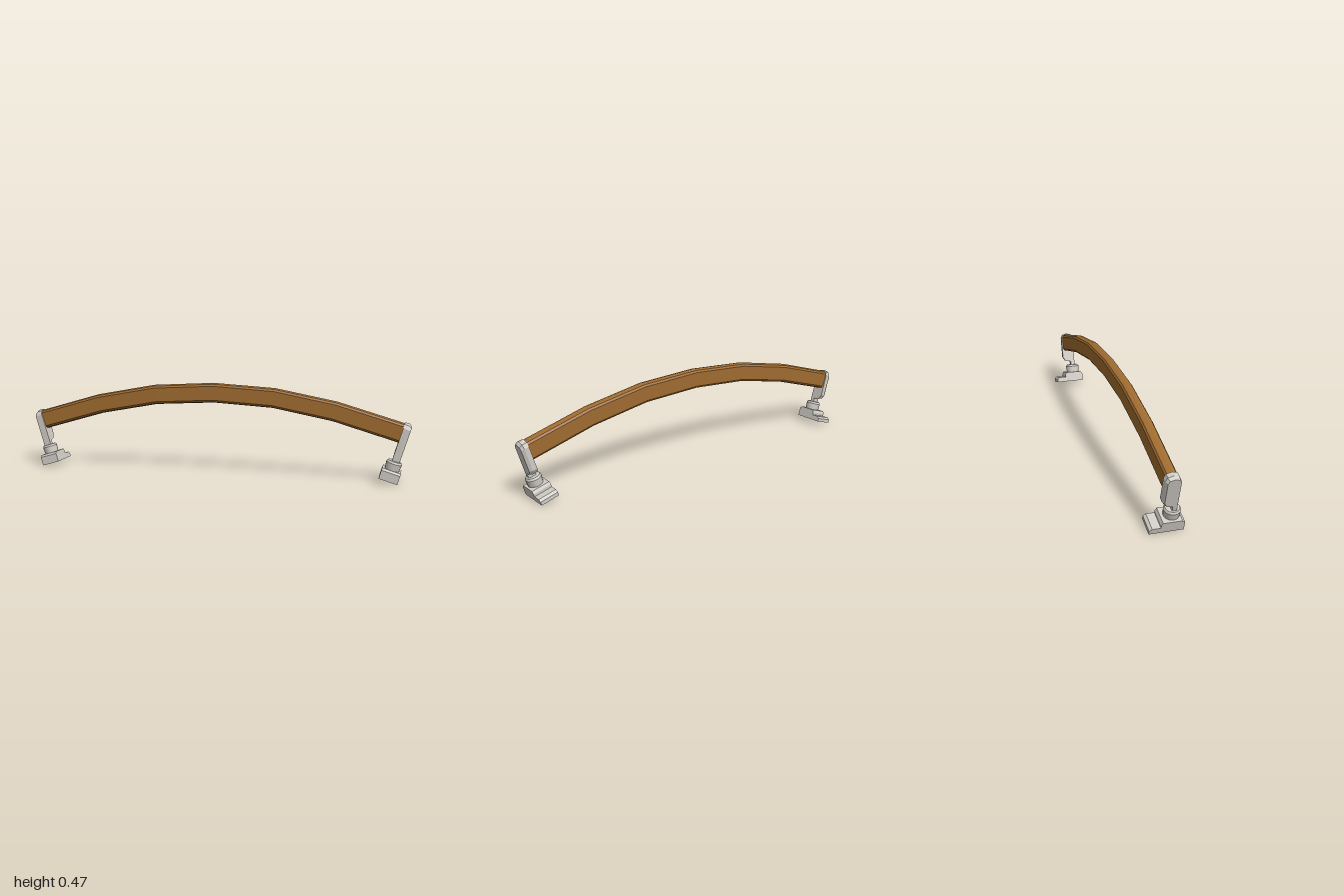
import * as THREE from 'three';
import { toCreasedNormals } from 'three/addons/utils/BufferGeometryUtils.js';

const TILT = 0.291;

// Skins a row of equal rings (counter-clockwise in z,y, running along x) and caps both ends.
function loft(rings, crease, openLast = false) {
  const n = rings[0].length, tris = [];
  const caps = THREE.ShapeUtils.triangulateShape(rings[0].map(p => new THREE.Vector2(p.z, p.y)), []);
  const first = rings[0], last = rings[rings.length - 1];
  for (const [a, b, c] of caps) {
    tris.push([first[a], first[b], first[c]], [last[a], last[c], last[b]]);
  }
  for (let i = 0; i < rings.length - 1; i++) {
    for (let j = 0; j < (openLast ? n - 1 : n); j++) {
      const k = (j + 1) % n;
      const a = rings[i][j], b = rings[i][k], c = rings[i + 1][k], d = rings[i + 1][j];
      tris.push([b, a, d], [b, d, c]);
    }
  }
  // Turn everything outward, which also takes care of mirrored rings
  let volume = 0;
  for (const [a, b, c] of tris) volume += a.dot(new THREE.Vector3().crossVectors(b, c));
  const pos = [];
  for (const [a, b, c] of tris) {
    for (const p of volume < 0 ? [a, c, b] : [a, b, c]) pos.push(p.x, p.y, p.z);
  }
  const geo = new THREE.BufferGeometry();
  geo.setAttribute('position', new THREE.Float32BufferAttribute(pos, 3));
  return toCreasedNormals(geo, crease);
}

const ring = (x, outline) => outline.map(([z, y]) => new THREE.Vector3(x, y, z));

// Outlines as [z, y]
const FOOT = [[0.08, 0], [0.08, 0.045], [0.068, 0.055], [-0.02, 0.055], [-0.027, 0.042],
  [-0.027, 0.028], [-0.066, 0.028], [-0.079, 0.018], [-0.079, 0]];
const PLATE = [[0.043, 0.085], [0.043, 0.268], [0.033, 0.288], [0.008, 0.296], [-0.018, 0.288],
  [-0.027, 0.268], [-0.027, 0.15], [-0.012, 0.127], [0.02, 0.12], [0.02, 0.085]];
const PLATE_FACE = [[0.042, 0.085], [0.042, 0.266], [0.034, 0.278], [0.012, 0.285], [-0.01, 0.278],
  [-0.018, 0.264], [-0.018, 0.15], [-0.007, 0.131], [0.021, 0.124], [0.021, 0.085]];
const BAR = [[0.028, -0.036], [0.028, 0.036], [0.021, 0.046], [0, 0.051], [-0.021, 0.046],
  [-0.028, 0.036], [-0.028, -0.036], [-0.021, -0.046], [0, -0.051], [0.021, -0.046]];

export function createModel() {
  const model = new THREE.Group();
  model.name = 'archedHandle';
  const wood = new THREE.MeshStandardMaterial({ color: 0xa06c30 });
  wood.name = 'wood';
  const metal = new THREE.MeshStandardMaterial({ color: 0xd0ccc5, side: THREE.DoubleSide });
  metal.name = 'paleMetal';

  const add = (parent, name, geo, mat) => {
    const mesh = new THREE.Mesh(geo, mat);
    mesh.name = name;
    parent.add(mesh);
    return mesh;
  };

  // Arched wooden bar: x, centre height and slope at each station
  const half = [[0, 0.418, 0], [0.315, 0.4, 0.12], [0.625, 0.342, 0.23], [0.955, 0.246, TILT]];
  const stations = [...half.slice(1).reverse().map(([x, y, a]) => [-x, y, -a]), ...half];
  const barRings = stations.map(([x, y, a]) => BAR.map(([z, h]) =>
    new THREE.Vector3(x + h * Math.sin(a), y + h * Math.cos(a), z + 0.007)));
  add(model, 'bar', loft(barRings, 0.45), wood);

  // End brackets, each leaning outward
  for (const side of [1, -1]) {
    const bracket = new THREE.Group();
    bracket.name = side > 0 ? 'leftBracket' : 'rightBracket';
    bracket.position.set(side * 0.897, 0.0135, 0);
    bracket.rotation.z = -side * TILT;
    model.add(bracket);

    // Stepped foot, hollow underneath
    add(bracket, 'foot', loft([ring(-side * 0.047, FOOT), ring(side * 0.047, FOOT)], 0.3, true), metal);

    // Round collar with a chamfered rim
    const profile = [[0, 0.052], [0.036, 0.052], [0.039, 0.09], [0.033, 0.1], [0, 0.1]]
      .map(([r, y]) => new THREE.Vector2(r, y));
    const collar = toCreasedNormals(new THREE.LatheGeometry(profile, 20).toNonIndexed(), 0.5);
    add(bracket, 'collar', collar, metal).position.z = 0.03;

    // Upright end plate with a bevelled outer face
    add(bracket, 'endPlate', loft([
      ring(-side * 0.014, PLATE), ring(side * 0.01, PLATE), ring(side * 0.024, PLATE_FACE),
    ], 0.3), metal);
  }
  return model;
}
